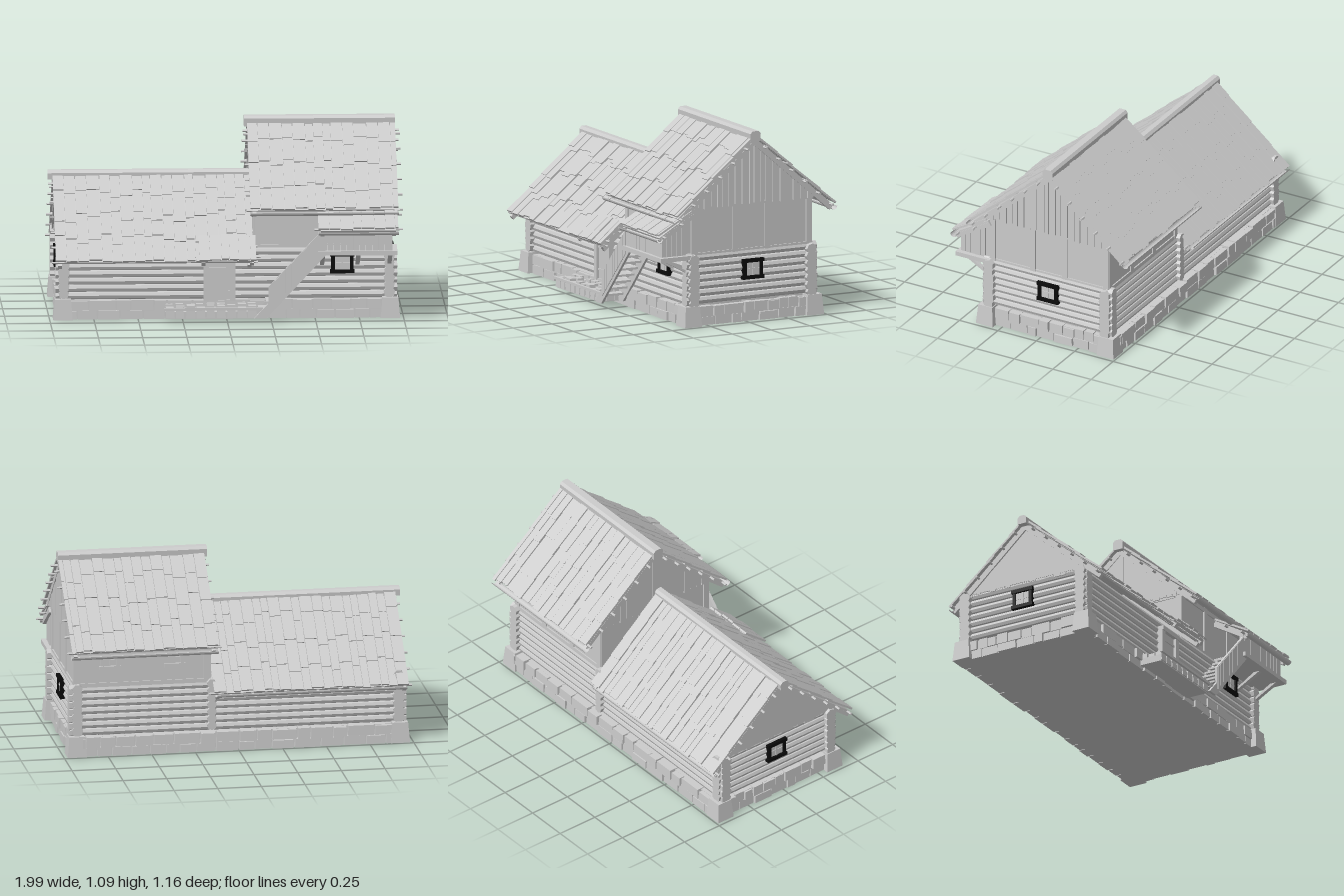
import * as THREE from 'three';
import { mergeGeometries } from 'three/addons/utils/BufferGeometryUtils.js';

const grey = new THREE.MeshStandardMaterial({ color: 0xcccccc, flatShading: true, side: THREE.DoubleSide });
const black = new THREE.MeshStandardMaterial({ color: 0x0a0a0a, flatShading: true });

let seed = 7;
const rnd = (a = 0, b = 1) => {
  seed = (seed * 16807) % 2147483647;
  return a + (b - a) * (seed / 2147483647);
};

// box from its minimum to its maximum corner
function span(x0, x1, y0, y1, z0, z1) {
  return new THREE.BoxGeometry(x1 - x0, y1 - y0, z1 - z0)
    .translate((x0 + x1) / 2, (y0 + y1) / 2, (z0 + z1) / 2);
}
function logX(x0, x1, y, z, r, n = 8) {
  return new THREE.CylinderGeometry(r, r, x1 - x0, n).rotateZ(Math.PI / 2).translate((x0 + x1) / 2, y, z);
}
function logZ(z0, z1, x, y, r, n = 8) {
  return new THREE.CylinderGeometry(r, r, z1 - z0, n).rotateX(Math.PI / 2).translate(x, y, (z0 + z1) / 2);
}
// polygon extruded along z, or given as (z, y) and extruded along x
function plateXY(pts, z0, z1) {
  const s = new THREE.Shape(pts.map(p => new THREE.Vector2(...p)));
  return new THREE.ExtrudeGeometry(s, { depth: z1 - z0, bevelEnabled: false }).translate(0, 0, z0);
}
function plateZY(pts, x0, x1) {
  return plateXY(pts, 0, x1 - x0).rotateY(-Math.PI / 2).translate(x1, 0, 0);
}
// stone with a narrowed, uneven top
function stone(x0, x1, y0, y1, z0, z1, taper) {
  const g = new THREE.BoxGeometry(x1 - x0, y1 - y0, z1 - z0), p = g.attributes.position;
  for (let i = 0; i < p.count; i++) {
    if (p.getY(i) > 0) p.setXYZ(i, p.getX(i) * taper, p.getY(i), p.getZ(i) * taper);
  }
  return g.translate((x0 + x1) / 2, (y0 + y1) / 2, (z0 + z1) / 2);
}

// overlapping shingle boards on one slope running from ridge (zR, yR) to eave (zE, yE)
function slope(x0, x1, zR, yR, zE, yE, rows, pegs) {
  const out = [], s = Math.sign(zE - zR), dz = zE - zR, dy = yE - yR;
  const L = Math.hypot(dz, dy), a = Math.atan2(-dy, Math.abs(dz));
  const ny = Math.cos(a), nz = s * Math.sin(a);
  const put = (x, w, t, h, len, lift, tilt = 0) => out.push(new THREE.BoxGeometry(w, h, len)
    .rotateX(s * (a - tilt)).translate(x, yR + dy * t + ny * lift, zR + dz * t + nz * lift));
  put((x0 + x1) / 2, x1 - x0 - 0.03, 0.49, 0.012, L * 0.97, -0.012);
  for (let x = x0; x < x1 - 0.015;) {
    const w = Math.min(rnd(0.04, 0.075), x1 - x), raise = rnd(0, 0.008);
    for (let r = 0; r < rows; r++) {
      const end = (r + 1) / rows + (r === rows - 1 ? rnd(-0.03, 0) : rnd(-0.07, 0.06));
      const start = Math.max(0, r / rows - 0.1);
      put(x + w / 2, w - 0.004, (start + end) / 2, 0.011, (end - start) * L, raise + 0.003, 0.035);
    }
    x += w;
  }
  // purlins with ends showing past the rake, and end rafters
  for (let i = 1; i <= pegs; i++) {
    const t = (i - 0.3) / pegs;
    out.push(logX(x0 - 0.02, x1 + 0.025, yR + dy * t - 0.018, zR + dz * t, 0.007, 6));
  }
  for (const x of [x0 + 0.025, x1 - 0.025]) put(x, 0.022, 0.5, 0.024, L, -0.028);
  return out;
}
const gutter = (x0, x1, y, z) => new THREE.CylinderGeometry(0.02, 0.02, x1 - x0, 8, 1, true, 0, Math.PI)
  .rotateY(Math.PI).rotateZ(Math.PI / 2).rotateX(0)
  .translate((x0 + x1) / 2, y, z);

// upright boards closing a gable
function gable(x, zR, yR, pitch, half, yBase) {
  const out = [], top = z => yR - pitch * Math.abs(z - zR);
  for (let z = zR - half; z < zR + half - 0.01;) {
    const z1 = Math.min(z + rnd(0.025, 0.05), zR + half), b = yBase + rnd(-0.008, 0.008), g = z1 - 0.004;
    const pts = [[z, b], [g, b], [g, top(g)]];
    if (z < zR && g > zR) pts.push([zR, yR]);
    pts.push([z, top(z)]);
    const off = rnd(0, 0.006);
    out.push(plateZY(pts, x - 0.008 + off, x + 0.004 + off));
    z = z1;
  }
  out.push(plateZY([[zR - half, yBase + 0.01], [zR + half, yBase + 0.01], [zR + half, top(zR + half)],
    [zR, yR], [zR - half, top(zR - half)]], x - 0.006, x - 0.002));
  return out;
}

export function createModel() {
  const model = new THREE.Group();
  const add = (name, parts, mat = grey) => {
    const m = new THREE.Mesh(mergeGeometries(parts.map(g => g.index ? g.toNonIndexed() : g)), mat);
    m.name = name;
    model.add(m);
  };
  const ZF = 0.335, ZB = -0.42, XE = 0.92;

  // stone footing
  const foot = [span(-0.94, 0.94, 0, 0.105, -0.45, 0.36)];
  for (const [y0, y1] of [[0, 0.055], [0.05, 0.112]]) {
    for (let x = -0.9; x < 0.88;) {
      const w = rnd(0.06, 0.16), x1 = Math.min(x + w, 0.9);
      foot.push(stone(x, x1 - 0.006, y0, y1 - rnd(0, 0.01), 0.31, 0.37 + rnd(0, 0.015), 0.95));
      foot.push(stone(x, x1 - 0.006, y0, y1 - rnd(0, 0.01), -0.475 - rnd(0, 0.015), -0.4, 0.95));
      x = x1;
    }
    for (let z = -0.4; z < 0.3;) {
      const z1 = Math.min(z + rnd(0.06, 0.13), 0.32);
      for (const s of [-1, 1]) {
        const e = 0.945 + rnd(0, 0.015);
        foot.push(stone(Math.min(s * 0.88, s * e), Math.max(s * 0.88, s * e), y0, y1 - rnd(0, 0.01), z, z1 - 0.006, 0.95));
      }
      z = z1;
    }
  }
  add('stoneFooting', foot);
  const corner = [];
  for (const s of [-1, 1]) for (const z of [0.35, -0.435])
    corner.push(stone(s * 0.925 - 0.055, s * 0.925 + 0.055, 0, 0.117, z - 0.055, z + 0.055, 0.82));
  add('cornerStones', corner);

  // log walls with crossing ends
  const logs = [span(-0.91, 0.91, 0.1, 0.4, -0.41, 0.325)], ends = [];
  for (let i = 0; i < 7; i++) {
    const y = 0.132 + i * 0.041;
    for (const z of [ZF, ZB]) {
      logs.push(logX(-0.95, 0.95, y, z, 0.023));
      for (const s of [-1, 1]) ends.push(logX(s * 0.935 - 0.03, s * 0.935 + 0.03, y, z, 0.03 + rnd(0, 0.007), 7));
    }
    for (const s of [-1, 1]) {
      logs.push(logZ(-0.44, 0.36, s * XE, y + 0.012, 0.023));
      for (const z of [0.355, -0.44]) ends.push(logZ(z - 0.022, z + 0.022, s * XE, y + 0.012, 0.028 + rnd(0, 0.007), 7));
    }
    ends.push(logZ(-0.462, -0.4, 0.15, y + 0.012, 0.027, 7));
  }
  add('logWalls', logs);
  add('logEnds', ends);

  // upper storey with posts and rails
  add('upperWalls', [span(0.16, 0.93, 0.39, 0.69, -0.43, 0.335)]);
  const posts = [];
  for (const z of [0.32, 0.06, -0.15, -0.415]) for (const x of [0.16, 0.93])
    posts.push(span(x - 0.008, x + 0.008, 0.4, 0.69, z - 0.017, z + 0.017));
  for (const x of [0.175, 0.42, 0.67, 0.915]) for (const z of [0.335, -0.43])
    posts.push(span(x - 0.017, x + 0.017, 0.4, 0.69, z - 0.008, z + 0.008));
  for (const y of [0.405, 0.675]) posts.push(span(0.155, 0.937, y - 0.012, y + 0.012, -0.437, 0.342));
  add('upperFrame', posts);

  // gables
  add('tallGables', [...gable(0.945, -0.05, 1.04, 0.88, 0.385, 0.675), ...gable(0.155, -0.05, 1.04, 0.88, 0.385, 0.675)]);
  add('lowGable', gable(-0.94, -0.03, 0.755, 0.9, 0.385, 0.39));

  // roofs, ridges and gutters
  add('tallRoof', [0.455, -0.565].flatMap(z => slope(0.13, 0.97, -0.055, 1.06, z, 0.622, 4, 6)));
  add('lowRoof', [0.485, -0.515].flatMap(z => slope(-0.97, 0.15, -0.025, 0.77, z, 0.335, 4, 6)));
  add('ridges', [
    plateZY([[-0.085, 1.03], [-0.025, 1.03], [-0.022, 1.075], [-0.035, 1.09], [-0.075, 1.09], [-0.088, 1.075]], 0.115, 0.968),
    plateZY([[-0.052, 0.74], [0.002, 0.74], [0.004, 0.775], [-0.01, 0.79], [-0.04, 0.79], [-0.054, 0.775]], -0.995, 0.15)]);
  add('gutters', [gutter(0.13, 0.97, 0.618, 0.455), gutter(0.13, 0.97, 0.612, -0.56),
    gutter(-0.96, 0.13, 0.338, -0.505)]);

  // boarded balcony with lean-to roof
  const balcony = [span(0.51, 0.96, 0.385, 0.41, 0.33, 0.55)];
  for (let x = 0.53; x < 0.92; x += 0.036) balcony.push(span(x, x + 0.033, 0.4 + rnd(0, 0.01), 0.535, 0.515, 0.527 + rnd(0, 0.005)));
  for (let z = 0.34; z < 0.52; z += 0.032)
    balcony.push(plateZY([[z, 0.4], [z + 0.029, 0.4], [z + 0.029, 0.635 - (z - 0.331) * 0.6], [z, 0.655 - (z - 0.34) * 0.6]], 0.918, 0.93 + rnd(0, 0.005)));
  for (const x of [0.54, 0.74, 0.92]) balcony.push(plateZY([[0.34, 0.3], [0.36, 0.3], [0.52, 0.39], [0.48, 0.39]], x - 0.012, x + 0.012));
  balcony.push(span(0.52, 0.54, 0.4, 0.54, 0.505, 0.527));
  add('balcony', balcony);
  add('balconyRoof', [...slope(0.51, 0.965, 0.345, 0.66, 0.565, 0.53, 1, 2), gutter(0.51, 0.965, 0.522, 0.56)]);

  // staircase with boarded rail
  const stair = [plateXY([[0.15, 0.025], [0.22, 0.025], [0.56, 0.39], [0.52, 0.51], [0.23, 0.205], [0.23, 0.11]], 0.515, 0.53)];
  stair.push(plateXY([[0.15, 0.025], [0.22, 0.025], [0.56, 0.39], [0.51, 0.41]], 0.375, 0.39));
  for (let i = 0; i < 8; i++) {
    const x = 0.2 + i * 0.042, y = 0.065 + i * 0.044;
    stair.push(span(x - 0.025, x + 0.03, y, y + 0.012, 0.38, 0.52));
  }
  for (let i = 0; i < 9; i++) {
    const x = 0.235 + i * 0.031, y = 0.04 + i * 0.033;
    stair.push(plateXY([[x, y + 0.03], [x + 0.027, y + 0.057], [x + 0.027, y + 0.192], [x, y + 0.165]], 0.528, 0.534));
  }
  add('staircase', stair);

  // stone landing with timber edge
  const landing = [span(-0.35, 0.16, 0.02, 0.06, 0.36, 0.505), span(-0.36, 0.2, 0.07, 0.085, 0.505, 0.522)];
  for (let x = -0.35; x < 0.15; x += 0.058) for (let z = 0.37; z < 0.5; z += 0.048)
    landing.push(stone(x, x + rnd(0.045, 0.057), 0.025, rnd(0.075, 0.1), z, z + 0.045, 0.85));
  add('landing', landing);

  // doorway under a small canopy
  add('door', [span(-0.13, -0.1, 0.1, 0.35, 0.33, 0.385), span(0.02, 0.05, 0.1, 0.35, 0.33, 0.385),
    span(-0.1, 0.02, 0.1, 0.34, 0.33, 0.368), span(-0.13, 0.05, 0.33, 0.355, 0.33, 0.39),
    span(-0.1, 0.02, 0.15, 0.16, 0.36, 0.374), span(-0.1, 0.02, 0.28, 0.29, 0.36, 0.374)]);
  add('doorCanopy', slope(-0.16, 0.165, 0.36, 0.47, 0.497, 0.348, 1, 1));

  // windows: frame built facing +z, then turned
  const win = (name, mat, w, h, x, y, z, ry) => {
    const b = 0.02, set = (n, parts, m) => add(n, parts.map(g => g.rotateY(ry).translate(x, y, z)), m);
    set(name + 'Frame', [span(-w, -w + b, -h, h, -0.02, 0.012), span(w - b, w, -h, h, -0.02, 0.012),
      span(-w - 0.006, w + 0.006, h - b, h, -0.02, 0.016), span(-w - 0.006, w + 0.006, -h, -h + b, -0.02, 0.016)], mat);
    set(name + 'Pane', [span(-w + b, w - b, -h + b, h - b, -0.02, 0.002),
      span(-0.004, 0.004, -h + b, h - b, 0, 0.006), span(-w + b, w - b, -0.003, 0.003, 0, 0.006)], grey);
  };
  win('frontWindow', black, 0.063, 0.058, 0.655, 0.312, 0.36, 0);
  win('leftEndWindow', black, 0.063, 0.058, 0.945, 0.298, -0.047, Math.PI / 2);
  win('rightEndWindow', black, 0.063, 0.058, -0.945, 0.298, -0.047, -Math.PI / 2);
  win('backWindowA', grey, 0.055, 0.055, 0.36, 0.55, -0.432, Math.PI);
  win('backWindowB', grey, 0.055, 0.055, 0.73, 0.55, -0.432, Math.PI);
  return model;
}
